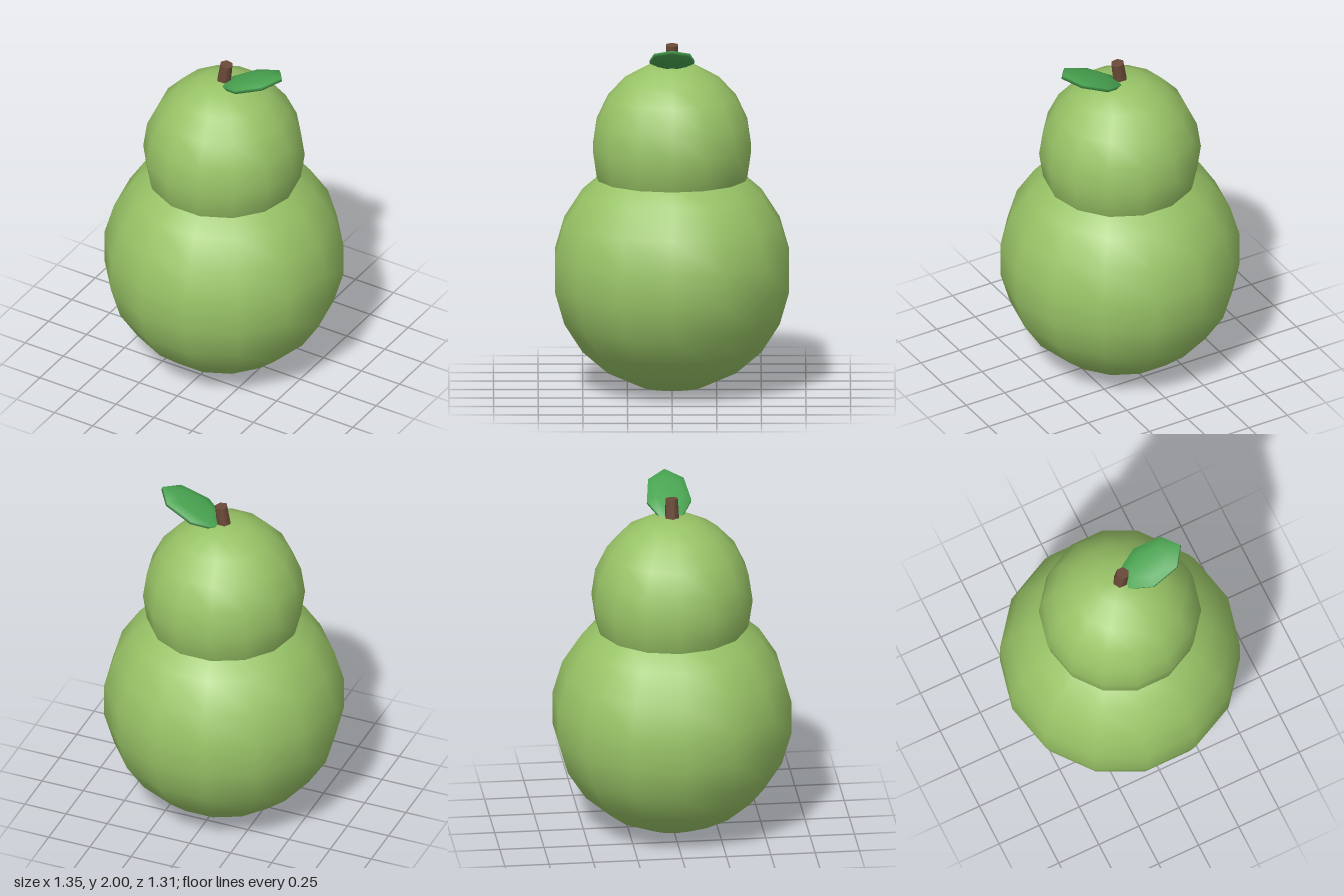
import * as THREE from 'three';

const material = (name, color) => {
  const m = new THREE.MeshStandardMaterial({ color });
  m.name = name;
  return m;
};

export function createModel() {
  const group = new THREE.Group();
  group.name = 'pear';
  const skin = material('pear green', 0x98c366);
  const leafGreen = material('leaf green', 0x48a350);
  const bark = material('stem brown', 0x6b4a39);

  const add = (name, geometry, mat, x, y, tilt = 0) => {
    const mesh = new THREE.Mesh(geometry, mat);
    mesh.name = name;
    mesh.position.set(x, y, 0);
    mesh.rotation.z = tilt;
    group.add(mesh);
  };

  // Two overlapping low-poly spheres form the fruit
  add('lowerBody', new THREE.SphereGeometry(0.68, 14, 11), skin, 0, 0.68);
  add('upperBody', new THREE.SphereGeometry(0.455, 14, 10).scale(1, 1.077, 1), skin, 0, 1.38);

  // Six-sided tapered stem, leaning towards the leaf
  const stem = new THREE.CylinderGeometry(0.038, 0.045, 0.16, 6).rotateY(Math.PI / 2);
  add('stem', stem, bark, 0.006, 1.89, -0.14);

  // Leaf: flattened seven-sided sphere, pointed end outwards
  const leaf = new THREE.SphereGeometry(1, 7, 5).rotateY(Math.PI).scale(0.214, 0.033, 0.135);
  add('leaf', leaf, leafGreen, 0.19, 1.916, 0.4);

  return group;
}
